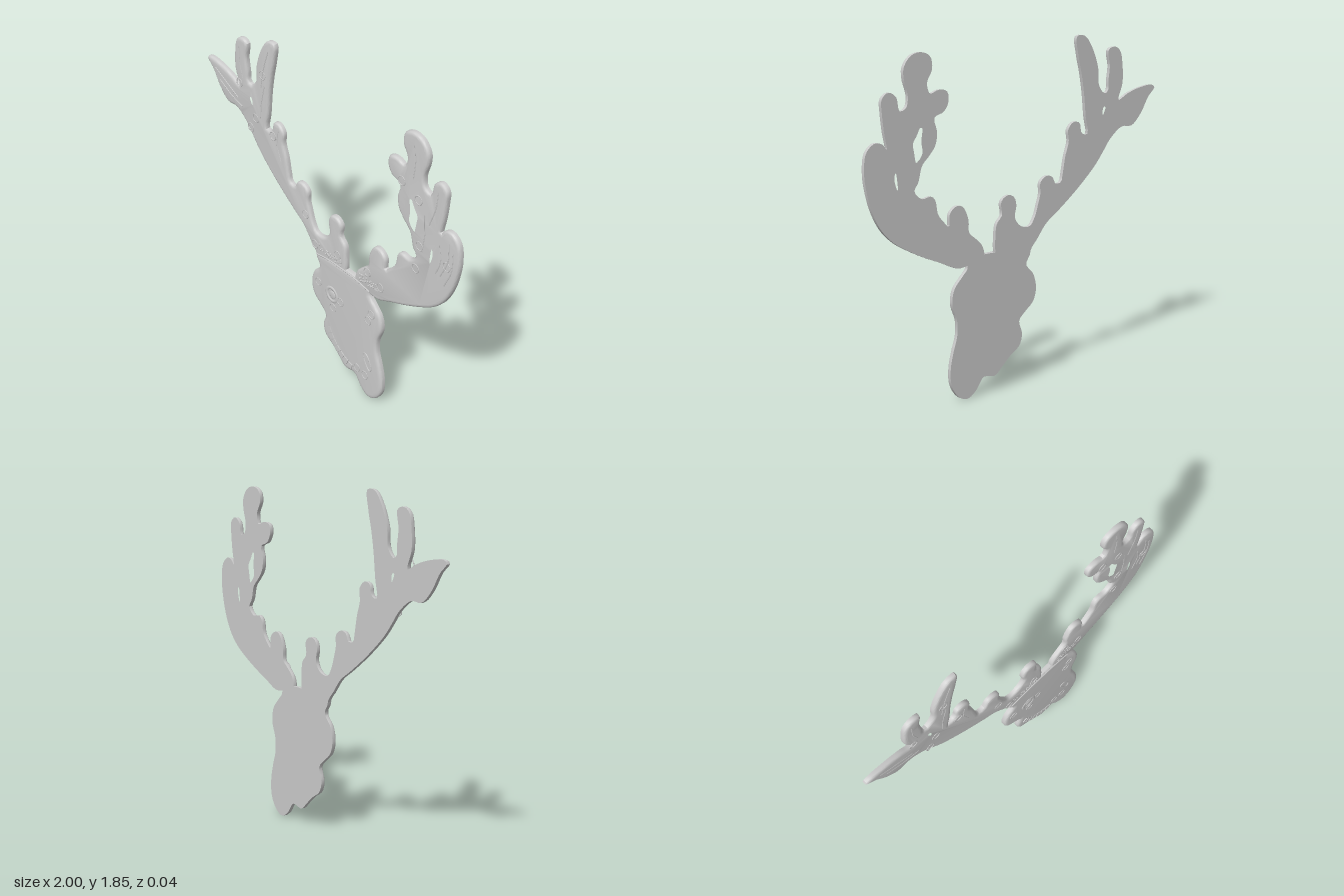
import * as THREE from 'three';
import { toCreasedNormals } from 'three/addons/utils/BufferGeometryUtils.js';

const BACK = -0.018;
const mat = new THREE.MeshStandardMaterial({ color: 0xcccccc, roughness: 0.8 });

// Smooth closed outline through flat [x, y, x, y...] control points
function outline(flat) {
  const pts = [];
  for (let i = 0; i < flat.length; i += 2) pts.push(new THREE.Vector3(flat[i], flat[i + 1], 0));
  return new THREE.CatmullRomCurve3(pts, true, 'centripetal').getSpacedPoints(pts.length * 4)
    .slice(0, -1).map(p => new THREE.Vector2(p.x, p.y));
}

// Plaque with a flat back and a rounded front edge
function plaque(name, flat, holes, front, round) {
  const shape = new THREE.Shape(outline(flat));
  holes.forEach(h => shape.holes.push(new THREE.Path(outline(h))));
  const bevel = 0.013;
  const geo = new THREE.ExtrudeGeometry(shape, {
    depth: front - BACK - bevel, bevelEnabled: true, bevelThickness: bevel,
    bevelSize: round, bevelOffset: -round, bevelSegments: 4,
  });
  const p = geo.attributes.position;
  for (let i = 0; i < p.count; i++) p.setZ(i, Math.max(p.getZ(i), 0) + BACK);
  return add(null, name, toCreasedNormals(geo, 0.7));
}

function add(parent, name, geo, x = 0, y = 0, z = 0) {
  const m = new THREE.Mesh(geo, mat);
  m.name = name;
  m.position.set(x, y, z);
  if (parent) parent.add(m);
  return m;
}

// Thin raised line lying on the front surface
function ridge(parent, name, flat, z, r = 0.004, closed = false) {
  const pts = [];
  for (let i = 0; i < flat.length; i += 2) pts.push(new THREE.Vector3(flat[i], flat[i + 1], z));
  const curve = new THREE.CatmullRomCurve3(pts, closed);
  return add(parent, name, new THREE.TubeGeometry(curve, 24, r, 6, closed));
}

export function createModel() {
  const group = new THREE.Group();
  const headZ = 0.013, antlerZ = 0.011;

  // Head
  group.add(plaque('head', [
    -.06, .73, -.03, .66, -.08, .60, -.10, .52, -.08, .45, -.02, .40, .02, .36, 0, .28, .02, .22,
    .08, .18, .14, .13, .19, .09, .27, .10, .32, .04, .38, .005, .44, .03, .485, .10, .49, .19,
    .47, .28, .445, .36, .445, .44, .475, .53, .46, .61, .41, .665, .37, .71, .38, .745, .18, .76,
  ], [], headZ, 0.025));

  // Right antler, sweeping out to -x
  group.add(plaque('rightAntler', [
    -.045, .70, -.065, .74, -.11, .79, -.17, .86, -.26, .92, -.36, .99, -.45, 1.06, -.54, 1.14,
    -.60, 1.21, -.65, 1.27, -.74, 1.33, -.82, 1.33, -.89, 1.39, -.95, 1.48, -1, 1.53, -.975, 1.545,
    -.87, 1.535, -.78, 1.51, -.71, 1.48, -.74, 1.57, -.74, 1.66, -.72, 1.75, -.68, 1.775,
    -.63, 1.76, -.64, 1.67, -.63, 1.59, -.628, 1.54, -.605, 1.525, -.56, 1.57, -.55, 1.67,
    -.505, 1.78, -.45, 1.845, -.39, 1.845, -.40, 1.75, -.425, 1.65, -.445, 1.54, -.46, 1.41,
    -.475, 1.315, -.43, 1.325, -.415, 1.38, -.37, 1.39, -.33, 1.35, -.335, 1.29, -.31, 1.21,
    -.29, 1.11, -.28, 1.075, -.24, 1.07, -.215, 1.11, -.175, 1.12, -.13, 1.09, -.13, 1.03,
    -.115, .98, -.09, .91, -.055, .865, .01, .875, .05, .925, .04, .995, .06, 1.04, .105, 1.05,
    .145, 1.02, .14, .95, .175, .91, .185, .845, .185, .76, .17, .72,
  ], [[-.63, 1.455, -.60, 1.475, -.575, 1.455, -.57, 1.405, -.595, 1.385, -.62, 1.415]], antlerZ, 0.02));

  // Left antler, curving up at +x
  group.add(plaque('leftAntler', [
    .27, .72, .26, .76, .275, .81, .32, .855, .36, .89, .365, .96, .40, 1.03, .44, 1.04,
    .485, 1.005, .49, .94, .515, .96, .56, 1.015, .575, 1.085, .60, 1.11, .66, 1.105, .705, 1.15,
    .68, 1.19, .655, 1.27, .61, 1.315, .57, 1.365, .56, 1.43, .575, 1.50, .515, 1.525, .485, 1.575,
    .495, 1.625, .55, 1.635, .60, 1.62, .617, 1.675, .585, 1.74, .595, 1.80, .65, 1.825, .715, 1.81,
    .757, 1.755, .757, 1.70, .735, 1.62, .745, 1.565, .785, 1.55, .805, 1.62, .85, 1.645, .89, 1.615,
    .89, 1.55, .88, 1.46, .865, 1.37, .89, 1.40, .935, 1.41, .985, 1.37, 1, 1.27, .985, 1.165,
    .955, 1.07, .905, .98, .835, .91, .745, .855, .635, .80, .54, .76, .435, .715, .36, .72,
  ], [
    [.635, 1.465, .67, 1.475, .70, 1.43, .725, 1.39, .72, 1.34, .70, 1.27, .665, 1.285, .635, 1.33, .64, 1.39],
    [.80, 1.26, .82, 1.275, .84, 1.24, .835, 1.19, .815, 1.15, .79, 1.16, .79, 1.21],
  ], antlerZ, 0.017));

  // Small round marks scattered over head and antlers
  const marks = [
    [-.70, 1.50], [-.495, 1.63], [-.565, 1.34], [-.61, 1.265], [-.415, 1.30], [-.145, .94], [-.065, .79],
    [.12, .82], [.59, 1.53], [.71, 1.48], [.73, 1.225], [.92, 1.21], [.71, 1.08], [.36, .85], [.46, .81],
    [.40, .595], [.375, .54], [.15, .525], [.09, .45], [-.035, .555], [.295, .16], [.36, .15],
  ];
  marks.forEach(([x, y]) =>
    add(group, 'roundMark', new THREE.TorusGeometry(.024, .0028, 6, 24), x, y, y < .75 ? headZ : antlerZ));

  // Eye: socket rim and low eyeball
  const rim = add(group, 'eyeSocket', new THREE.TorusGeometry(.042, .012, 8, 32), .08, .535, headZ - .003);
  rim.scale.z = 0.6;
  const eye = add(group, 'eye', new THREE.SphereGeometry(.025, 20, 12), .085, .535, headZ);
  eye.scale.z = 0.16;

  // Teardrop nostril
  ridge(group, 'nostril', [.345, .295, .365, .305, .395, .275, .41, .215, .395, .205, .365, .24], headZ, .004, true);

  // Row of teeth along the jaw
  const jaw = new THREE.QuadraticBezierCurve3(
    new THREE.Vector3(.06, .28, 0), new THREE.Vector3(.12, .17, 0), new THREE.Vector3(.24, .14, 0));
  for (let i = 0; i < 7; i++) {
    const p = jaw.getPointAt(i / 6), t = jaw.getTangentAt(i / 6);
    const tooth = add(group, 'tooth', new THREE.BoxGeometry(.032, .034, .008), p.x, p.y, headZ);
    tooth.rotation.z = Math.atan2(t.y, t.x);
  }

  // Brow seam where the antlers join the skull
  ridge(group, 'browSeam', [-.05, .735, .04, .75, .18, .755, .28, .75, .38, .735], headZ - .001, .005);

  // Grooved grain following the tines
  [
    [-.92, 1.50, -.82, 1.45, -.72, 1.40], [-.88, 1.44, -.78, 1.39, -.68, 1.36],
    [-.69, 1.72, -.69, 1.62, -.67, 1.54], [-.44, 1.79, -.48, 1.68, -.51, 1.55], [-.48, 1.57, -.51, 1.45, -.52, 1.36],
    [-.37, 1.35, -.38, 1.26, -.35, 1.17], [.93, 1.35, .93, 1.25, .88, 1.13], [.96, 1.31, .955, 1.2, .91, 1.09],
    [.87, 1.31, .88, 1.22, .85, 1.13], [.67, 1.77, .68, 1.68, .67, 1.58], [.84, 1.59, .83, 1.50, .79, 1.38],
    [.76, 1.42, .765, 1.32, .75, 1.2],
  ].forEach(g => ridge(group, 'antlerGrain', g, antlerZ - .001, .0035));

  // Pearled burrs at the antler bases
  let seed = 7;
  const rand = () => (seed = (seed * 16807) % 2147483647) / 2147483647;
  for (const [x0, x1] of [[-.03, .16], [.30, .44]]) {
    for (let i = 0; i < 36; i++) {
      const pearl = add(group, 'burrPearl', new THREE.SphereGeometry(.006, 8, 6),
        x0 + (x1 - x0) * rand(), .765 + .045 * rand(), antlerZ);
      pearl.scale.z = 0.5;
    }
  }
  return group;
}
